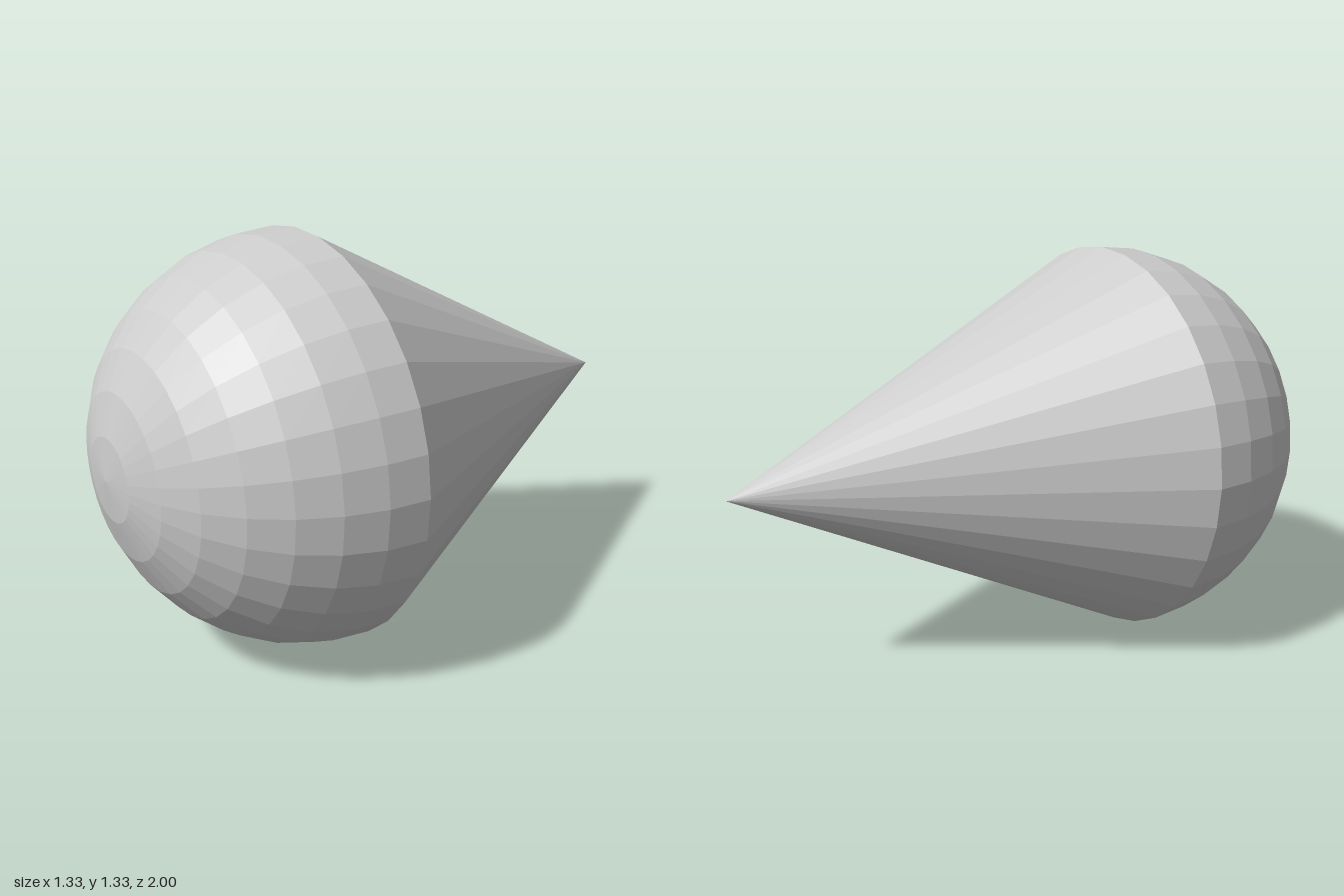
import * as THREE from 'three';

const RADIUS = 2 / 3;
const CENTRE_Z = 1 / 3;
const SIDES = 32;
const RINGS = 8;

export function createModel() {
  const model = new THREE.Group();
  model.name = 'teardrop';
  const material = new THREE.MeshStandardMaterial({
    color: 0xcccccc, flatShading: true, side: THREE.DoubleSide,
  });

  // Rounded front half, its pole turned to face +z
  const domeGeometry = new THREE.SphereGeometry(RADIUS, SIDES, RINGS, 0, Math.PI * 2, 0, Math.PI / 2);
  domeGeometry.rotateX(Math.PI / 2);
  const dome = new THREE.Mesh(domeGeometry, material);
  dome.name = 'roundedFront';

  // Pointed tail, joined to the dome at its rim
  const length = CENTRE_Z + 1;
  const tailGeometry = new THREE.ConeGeometry(RADIUS, length, SIDES, 1, true);
  tailGeometry.rotateX(-Math.PI / 2);
  tailGeometry.translate(0, 0, -length / 2);
  const tail = new THREE.Mesh(tailGeometry, material);
  tail.name = 'pointedTail';

  for (const part of [dome, tail]) {
    part.position.set(0, RADIUS, CENTRE_Z);
    model.add(part);
  }
  return model;
}
